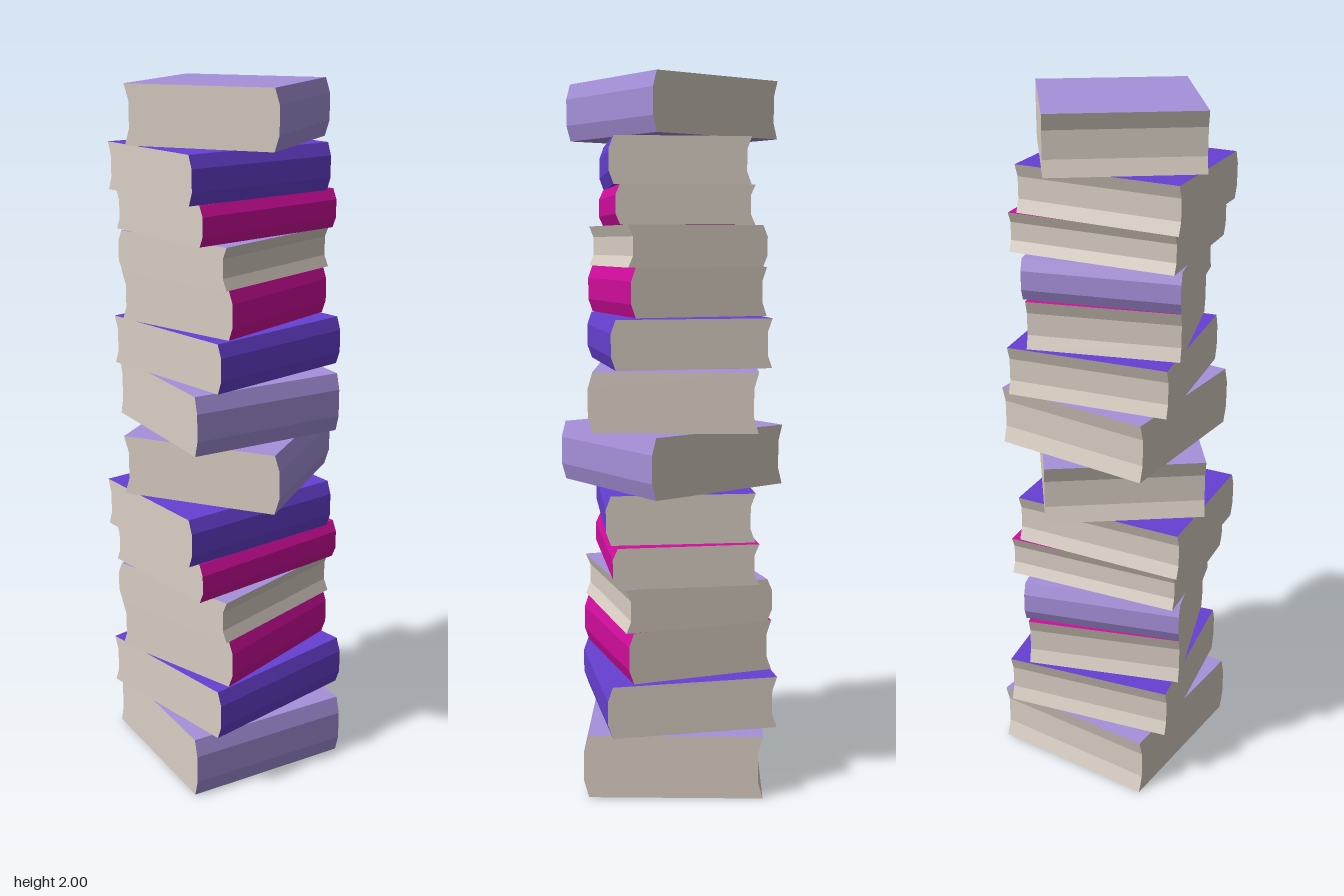
import * as THREE from 'three';

const mat = (name, color) => {
  const m = new THREE.MeshStandardMaterial({ color });
  m.name = name;
  return m;
};

// Prism with a rounded spine on +z and a hollow fore edge on -z.
// Group 0 is cover and spine, group 1 is the page edges.
function bookGeometry(w, h, d) {
  const b = 0.014;
  const spine = d / 2 - b, back = -d / 2;
  const shape = new THREE.Shape([
    [back, 0], [spine, 0], [spine + b, h * 0.27], [spine + b, h * 0.73],
    [spine, h], [back, h], [back + b, h * 0.73], [back + b, h * 0.27],
  ].map(([x, y]) => new THREE.Vector2(x, y)));
  let g = new THREE.ExtrudeGeometry(shape, { depth: w, bevelEnabled: false });
  if (g.index) g = g.toNonIndexed();
  g.translate(0, 0, -w / 2);
  g.rotateY(-Math.PI / 2);
  g.computeVertexNormals();
  g.clearGroups();
  const n = g.attributes.normal;
  for (let i = 0; i < n.count; i += 3) {
    const pages = Math.abs(n.getX(i)) > 0.5 || n.getZ(i) < -0.5;
    g.addGroup(i, 3, pages ? 1 : 0);
  }
  return g;
}

export function createModel() {
  const lavender = mat('lavender cover', 0xa690da);
  const violet = mat('violet cover', 0x6640d2);
  const magenta = mat('magenta cover', 0xd00d9c);
  const paper = mat('paper', 0xd9cfc4);

  // cover, bottom y, top y, width, depth, turn in degrees, centre x, centre z
  const books = [
    [lavender, 0, 0.182, 0.493, 0.505, -10.5, 0, -0.012],
    [violet, 0.19, 0.338, 0.493, 0.485, 2, 0.002, -0.015],
    [magenta, 0.342, 0.488, 0.452, 0.427, 10, -0.008, -0.013],
    [lavender, 0.488, 0.611, 0.465, 0.43, 188, -0.01, -0.015],
    [magenta, 0.611, 0.727, 0.508, 0.41, -1, -0.007, -0.008],
    [violet, 0.727, 0.866, 0.5, 0.418, -3.3, -0.035, -0.008],
    [lavender, 0.868, 1.039, 0.447, 0.465, 27.8, 0, 0],
  ];

  const model = new THREE.Group();
  model.name = 'bookTower';
  // The same pile twice, the upper one a little smaller
  [['lowerStack', 0, 1], ['upperStack', 1.039, 0.925]].forEach(([name, y, s]) => {
    const stack = new THREE.Group();
    stack.name = name;
    books.forEach(([cover, y0, y1, w, d, turn, x, z], i) => {
      const book = new THREE.Mesh(bookGeometry(w, y1 - y0, d), [cover, paper]);
      book.name = `book${i + 1}`;
      book.position.set(x, y0, z);
      book.rotation.y = THREE.MathUtils.degToRad(turn);
      stack.add(book);
    });
    stack.position.y = y;
    stack.scale.setScalar(s);
    model.add(stack);
  });
  return model;
}
